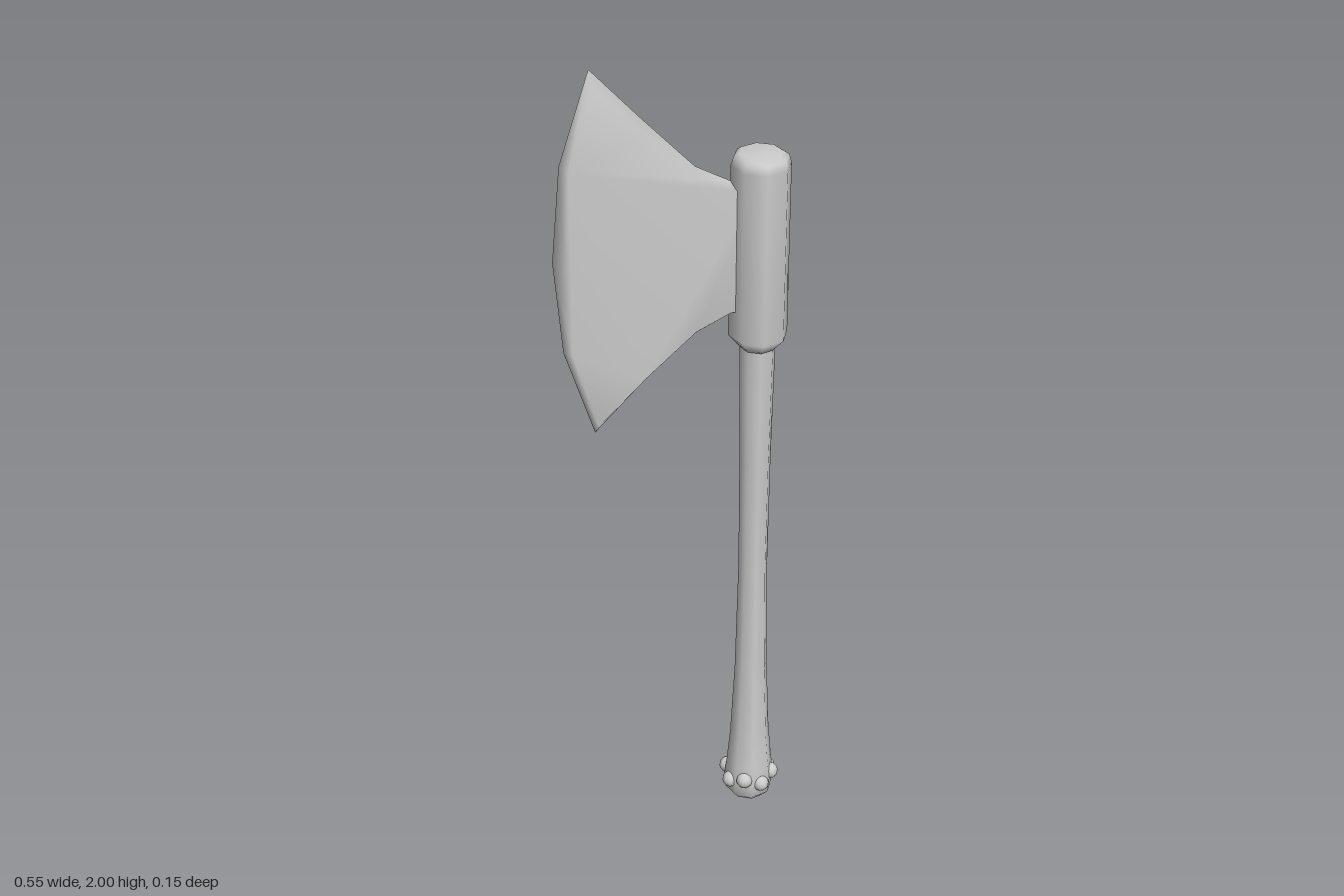
import * as THREE from 'three';

const material = new THREE.MeshStandardMaterial({ color: 0xcccccc });
const AXIS_X = 0.2; // handle centre line

function addPart(group, name, geometry) {
  const mesh = new THREE.Mesh(geometry, material);
  mesh.name = name;
  group.add(mesh);
  return mesh;
}

// Eight-sided turned part from [radius, y] pairs, bottom to top
function turned(profile) {
  return new THREE.LatheGeometry(profile.map(([r, y]) => new THREE.Vector2(r, y)), 8);
}

// Blade: a sharp rim at z = 0 between two flat faces inset from it
function bladeGeometry() {
  const half = 0.029;
  // [rim x, rim y, face x, face y], counter-clockwise seen from the front
  const outline = [
    [0.19, 1.72, 0.19, 1.71], [0.13, 1.72, 0.13, 1.705], [0.05, 1.76, 0.05, 1.742],
    [-0.07, 1.88, -0.07, 1.86], [-0.185, 2.0, -0.18, 1.97],
    [-0.255, 1.78, -0.237, 1.775], [-0.275, 1.55, -0.25, 1.55], [-0.255, 1.32, -0.237, 1.325],
    [-0.185, 1.105, -0.18, 1.135], [-0.07, 1.23, -0.07, 1.25], [0.05, 1.345, 0.05, 1.363],
    [0.13, 1.39, 0.13, 1.405], [0.19, 1.4, 0.19, 1.41],
  ];
  const n = outline.length;
  const positions = [];
  for (const p of outline) positions.push(p[2], p[3], half);
  for (const p of outline) positions.push(p[0], p[1], 0);
  for (const p of outline) positions.push(p[2], p[3], -half);

  const index = [];
  for (let ring = 0; ring < 2; ring++) {
    for (let i = 0; i < n; i++) {
      const a = ring * n + i, b = ring * n + (i + 1) % n;
      index.push(a, a + n, b, b, a + n, b + n);
    }
  }
  const face = outline.map((p) => new THREE.Vector2(p[2], p[3]));
  for (const [a, b, c] of THREE.ShapeUtils.triangulateShape(face, [])) {
    index.push(a, b, c, 2 * n + a, 2 * n + c, 2 * n + b);
  }
  const geometry = new THREE.BufferGeometry();
  geometry.setAttribute('position', new THREE.Float32BufferAttribute(positions, 3));
  geometry.setIndex(index);
  geometry.computeVertexNormals();
  return geometry;
}

export function createModel() {
  const axe = new THREE.Group();
  axe.name = 'axe';

  // Handle, flared into a knob at the foot
  const handle = addPart(axe, 'handle', turned([
    [0, 0], [0.046, 0.004], [0.06, 0.02], [0.064, 0.06], [0.058, 0.11], [0.05, 0.2],
    [0.041, 0.4], [0.036, 0.7], [0.038, 1.0], [0.043, 1.3], [0.043, 1.4],
  ]));
  handle.position.x = AXIS_X;

  // Socket gripping the top of the handle
  const socket = addPart(axe, 'socket', turned([
    [0, 1.3], [0.046, 1.302], [0.077, 1.335], [0.077, 1.755],
    [0.07, 1.775], [0.055, 1.784], [0, 1.786],
  ]));
  socket.position.x = AXIS_X;
  socket.scale.x = 0.91;

  addPart(axe, 'blade', bladeGeometry());

  // Ring of studs around the knob
  const studs = new THREE.Group();
  studs.name = 'studs';
  studs.position.set(AXIS_X, 0.066, 0);
  const studGeometry = new THREE.SphereGeometry(0.021, 10, 8);
  for (let i = 0; i < 8; i++) {
    const angle = (i + 0.5) * Math.PI / 4;
    const stud = addPart(studs, 'stud', studGeometry);
    stud.position.set(0.056 * Math.cos(angle), i % 2 ? -0.008 : 0.006, 0.056 * Math.sin(angle));
  }
  axe.add(studs);

  return axe;
}
